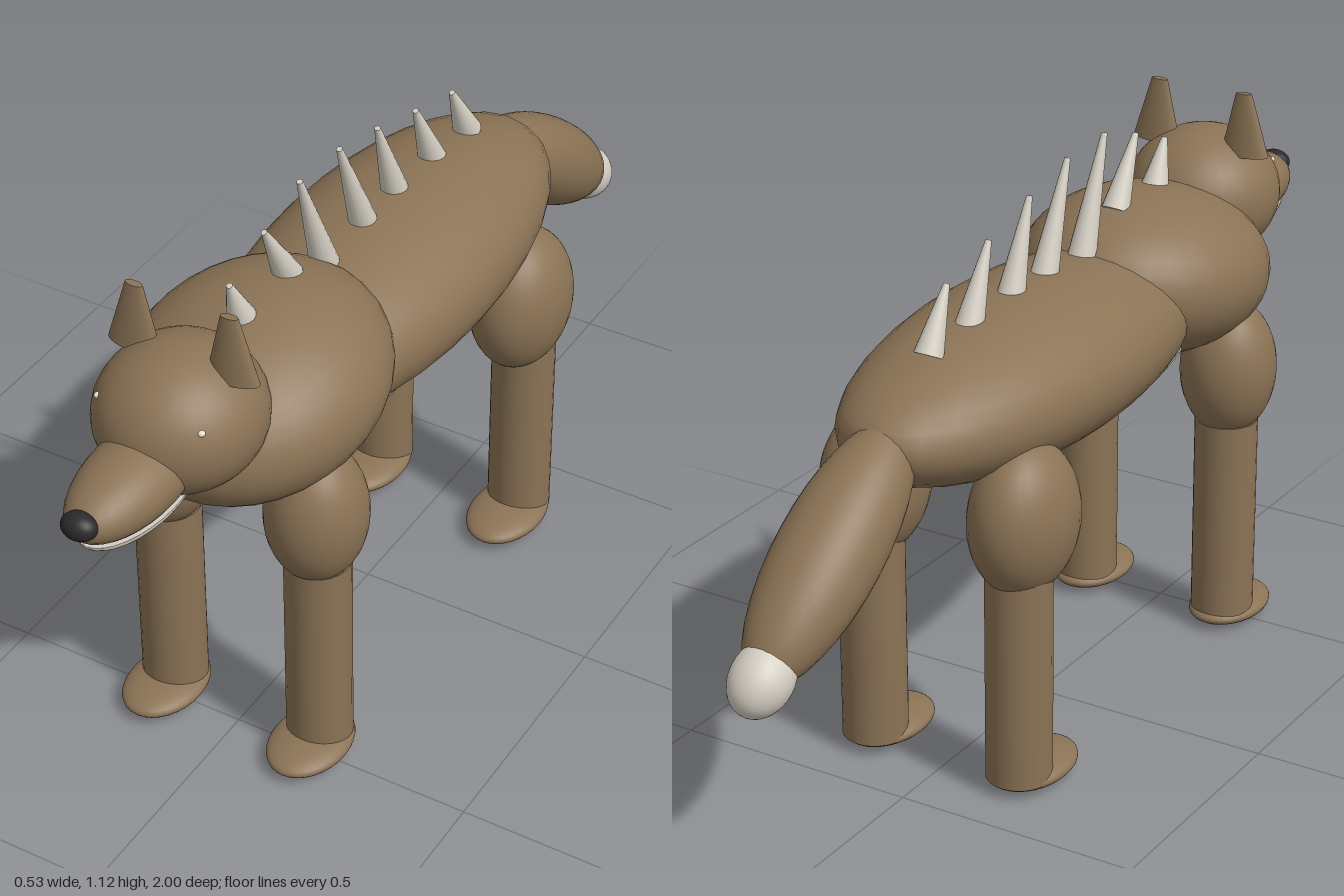
import * as THREE from 'three';

const mat = (name, color) => Object.assign(new THREE.MeshStandardMaterial({ color }), { name });

export function createModel() {
  const fur = mat('brown fur', 0x8b7355);
  const pale = mat('pale fur', 0xd3cdc2);
  const bone = mat('bone spines', 0xd4cec2);
  const black = mat('black nose', 0x2a2a2a);
  const eyeMat = mat('pale eye', 0xe6dfc8);

  const model = new THREE.Group();
  model.name = 'spinedWolf';

  const add = (name, geometry, material, pos, rotX = 0) => {
    const mesh = new THREE.Mesh(geometry, material);
    mesh.name = name;
    mesh.position.set(...pos);
    mesh.rotation.x = rotX;
    model.add(mesh);
    return mesh;
  };
  const ellipsoid = (name, material, pos, radii, rotX = 0) =>
    add(name, new THREE.SphereGeometry(1, 32, 22).scale(...radii), material, pos, rotX);

  // Trunk, with the rump cut flat where the tail joins
  const body = ellipsoid('body', fur, [0, 0.748, -0.06], [0.23, 0.157, 0.54]);
  const p = body.geometry.attributes.position;
  for (let i = 0; i < p.count; i++) p.setZ(i, Math.max(p.getZ(i), -0.505));
  ellipsoid('chest', fur, [0, 0.782, 0.41], [0.245, 0.172, 0.29], 0.14);
  ellipsoid('belly', pale, [0, 0.69, 0.1], [0.174, 0.1, 0.42]);

  // Head
  ellipsoid('head', fur, [0, 0.87, 0.652], [0.158, 0.14, 0.165]);
  ellipsoid('snout', fur, [0, 0.828, 0.8], [0.087, 0.07, 0.183], 0.03);
  ellipsoid('nose', black, [0, 0.837, 0.972], [0.035, 0.026, 0.028]);

  // Lower jaw: half an ellipsoid, flattened on top
  const jawGeo = new THREE.SphereGeometry(1, 32, 22).scale(0.074, 0.037, 0.16);
  const j = jawGeo.attributes.position;
  for (let i = 0; i < j.count; i++) j.setY(i, Math.min(j.getY(i), 0));
  jawGeo.computeVertexNormals();
  add('lowerJaw', jawGeo, pale, [0, 0.779, 0.797]);

  // Paired parts
  for (const side of [-1, 1]) {
    const label = side > 0 ? 'left' : 'right';
    const ear = new THREE.CylinderGeometry(0.018, 0.053, 0.13, 24).scale(1, 1, 0.45);
    add(label + 'Ear', ear, fur, [side * 0.1, 1.035, 0.637]).rotation.z = side * 0.04;
    ellipsoid(label + 'Eye', eyeMat, [side * 0.107, 0.927, 0.75], [0.007, 0.006, 0.007]);

    // Legs: thigh ellipsoid, straight shank, flat paw
    const legs = [
      { name: 'Front', z: 0.468, thigh: [0.47, 0.578, 0.145, 0.103], paw: [0.502, 0.108] },
      { name: 'Rear', z: -0.345, thigh: [-0.325, 0.563, 0.153, 0.13], paw: [-0.296, 0.113] },
    ];
    for (const { name, z, thigh, paw } of legs) {
      const x = side * 0.165;
      ellipsoid(label + name + 'Thigh', fur, [x, thigh[1], thigh[0]], [0.098, thigh[2], thigh[3]]);
      add(label + name + 'Shank', new THREE.CylinderGeometry(0.065, 0.065, 0.44, 28), fur, [x, 0.245, z]);
      ellipsoid(label + name + 'Paw', fur, [x, 0.028, paw[0]], [0.077, 0.027, paw[1]]);
    }
  }

  // Drooping tail with a pale tip
  const droop = -0.625;
  ellipsoid('tail', fur, [0, 0.613, -0.715], [0.1, 0.094, 0.285], droop);
  ellipsoid('tailTip', pale, [0, 0.457, -0.93], [0.059, 0.059, 0.076], droop);

  // Spines along the back, leaning forward: base z, base y, tip z, tip y
  const spines = [
    [0.447, 0.94, 0.485, 1.035], [0.29, 0.94, 0.367, 1.078], [0.16, 0.885, 0.244, 1.115],
    [0.015, 0.885, 0.104, 1.105], [-0.105, 0.885, -0.035, 1.072],
    [-0.25, 0.88, -0.18, 1.03], [-0.388, 0.872, -0.324, 0.992],
  ];
  spines.forEach(([bz, by, tz, ty], i) => {
    const dz = tz - bz, dy = ty - by;
    const geo = new THREE.CylinderGeometry(0.006, 0.029, Math.hypot(dz, dy), 16);
    add('spine' + (i + 1), geo, bone, [0, (by + ty) / 2, (bz + tz) / 2], Math.atan2(dz, dy));
  });

  return model;
}
